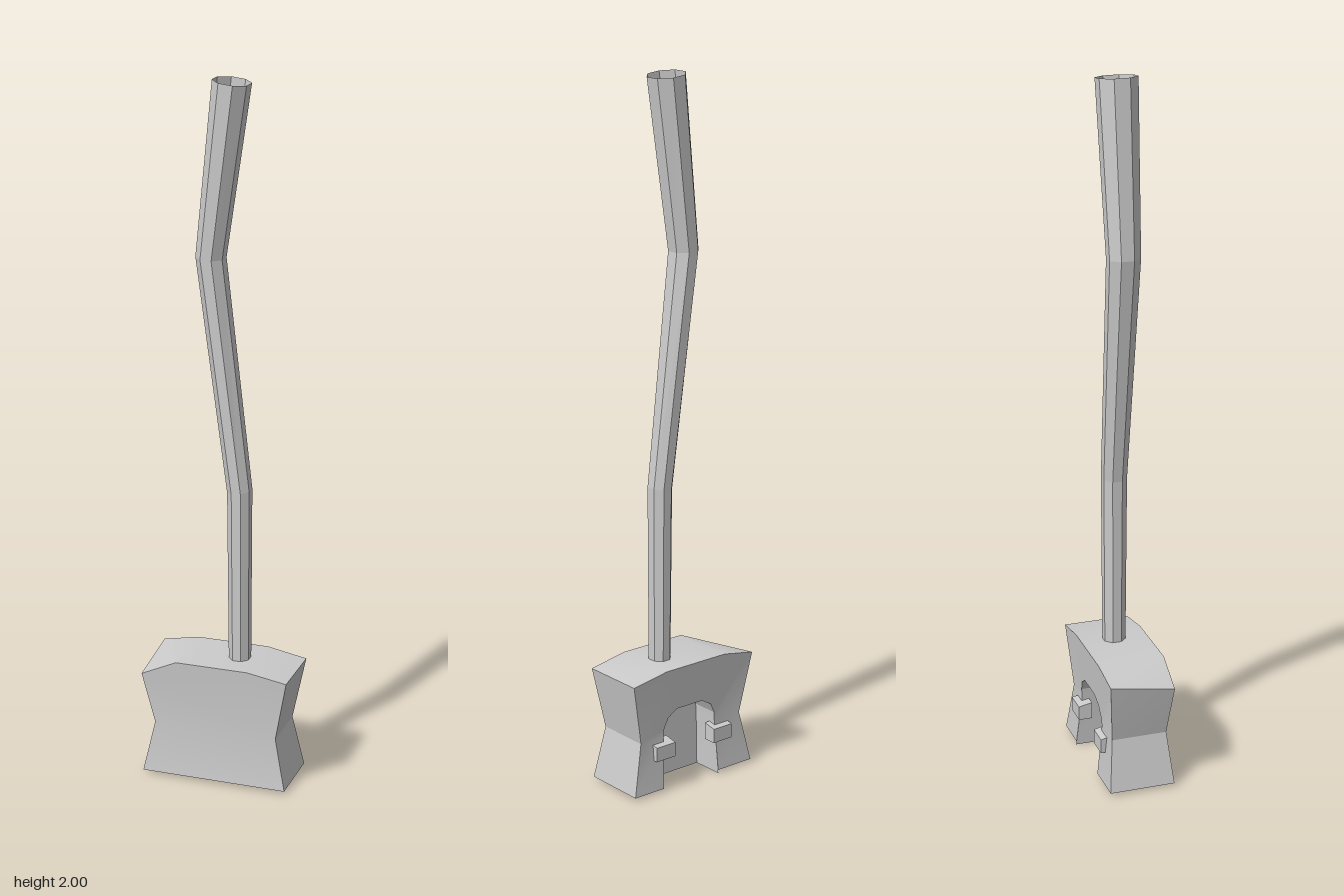
import * as THREE from 'three';
import { toCreasedNormals } from 'three/addons/utils/BufferGeometryUtils.js';

const BASE = 0.01, WAIST = 0.16;

// half thickness of the block, pinched at the waist
const depth = y => 0.08 + 0.015 * (y > WAIST ? (y - WAIST) / 0.18 : (WAIST - y) / (WAIST - BASE));
const front = ([x, y]) => {
  const yy = x < -0.2 && y > 0.3 ? 0.31 : y; // one worn front corner
  return new THREE.Vector3(x, yy, depth(yy));
};
const back = ([x, y]) => new THREE.Vector3(x, y, -depth(y));
const middle = ([x, y]) => new THREE.Vector3(x, y, 0);

function builder() {
  const pos = [];
  const tri = (a, b, c) => pos.push(...a, ...b, ...c);
  return {
    // flat polygon turned towards a normal; u and v are the axes it is triangulated in
    face(pts, normal, u = 'x', v = 'y') {
      const flat = pts.map(p => new THREE.Vector2(p[u], p[v]));
      if (THREE.ShapeUtils.isClockWise(flat)) { flat.reverse(); pts = [...pts].reverse(); }
      for (const t of THREE.ShapeUtils.triangulateShape(flat, [])) {
        const [a, b, c] = t.map(i => pts[i]);
        const n = b.clone().sub(a).cross(c.clone().sub(a));
        if (n.dot(normal) >= 0) tri(a, b, c); else tri(a, c, b);
      }
    },
    // strip of quads between two versions of the same path
    wall(path, near, far) {
      for (let i = 0; i + 1 < path.length; i++) {
        const a = near(path[i]), b = near(path[i + 1]), c = far(path[i + 1]), d = far(path[i]);
        tri(a, d, c);
        tri(a, c, b);
      }
    },
    geometry() {
      const g = new THREE.BufferGeometry();
      g.setAttribute('position', new THREE.Float32BufferAttribute(pos, 3));
      return g;
    }
  };
}

// Waisted block with an arched slot in its back and underside
function blockGeometry() {
  const b = builder();
  const F = new THREE.Vector3(0, 0, 1), B = new THREE.Vector3(0, 0, -1);
  const upper = [[0.18, WAIST], [0.215, 0.34], [0.1, 0.36], [-0.11, 0.36], [-0.215, 0.34], [-0.18, WAIST]];
  const right = [0.212, BASE], left = [-0.212, BASE];
  const arch = [[0.1, WAIST], [0.098, 0.185], [0.085, 0.215], [0.055, 0.235],
    [-0.035, 0.235], [-0.07, 0.215], [-0.085, 0.185], [-0.087, WAIST]];
  const slot = [[0.11, 0], ...arch, [-0.09, 0]];
  const footR = [0.11, BASE], footL = [-0.09, BASE];

  // front, above and below the waist
  b.face(upper.map(front), F);
  b.face([left, right, upper[0], upper[5]].map(front), F);
  // back, with the slot cut out
  b.face([...upper, ...[...arch].reverse()].map(back), B);
  b.face([right, upper[0], arch[0], footR].map(back), B);
  b.face([left, upper[5], arch[7], footL].map(back), B);
  // sides and top
  b.wall([right, ...upper, left], front, back);
  // slot lining and its end wall
  b.wall([...slot].reverse(), middle, back);
  b.face(slot.map(middle), B);
  // U-shaped underside
  b.face([front(left), front(right), back(right), back(footR), middle(footR),
    middle(footL), back(footL), back(left)], new THREE.Vector3(0, -1, 0), 'x', 'z');
  return toCreasedNormals(b.geometry(), 0.3);
}

// Bent, flaring, eight-sided hollow pole: [x, y, half width, half thickness, tilt]
function poleGeometry() {
  const sections = [[0.048, 0.355, 0.029, 0.031, 0], [0.046, 0.86, 0.032, 0.034, 0.15],
    [-0.037, 1.517, 0.038, 0.044, -0.05], [0.022, 1.994, 0.048, 0.054, -0.12]];
  const sides = 8, grow = 1 / Math.cos(Math.PI / sides);
  const pos = [], index = [];
  sections.forEach(([x, y, w, t, tilt], s) => {
    for (let i = 0; i < sides; i++) {
      const a = (i + 0.5) / sides * Math.PI * 2;
      const dx = Math.cos(a) * w * grow;
      pos.push(x + dx, y + dx * tilt, -Math.sin(a) * t * grow);
      if (s === 0) continue;
      const p = (s - 1) * sides + i, q = (s - 1) * sides + (i + 1) % sides;
      index.push(p, q, q + sides, p, q + sides, p + sides);
    }
  });
  const g = new THREE.BufferGeometry();
  g.setAttribute('position', new THREE.Float32BufferAttribute(pos, 3));
  g.setIndex(index);
  const flat = g.toNonIndexed();
  flat.computeVertexNormals();
  return flat;
}

// Small lug whose outer end is slightly lower and shorter
function lugGeometry() {
  const g = new THREE.BoxGeometry(0.066, 0.05, 0.04);
  const p = g.attributes.position;
  for (let i = 0; i < p.count; i++) {
    if (p.getZ(i) < 0 && p.getY(i) > 0) p.setY(i, p.getY(i) - 0.008);
  }
  g.computeVertexNormals();
  return g;
}

export function createModel() {
  const model = new THREE.Group();
  const grey = new THREE.MeshStandardMaterial({ color: 0xcccccc });
  const flatGrey = new THREE.MeshStandardMaterial({ color: 0xcccccc, flatShading: true, side: THREE.DoubleSide });
  const add = (name, geometry, material) => {
    const mesh = new THREE.Mesh(geometry, material);
    mesh.name = name;
    model.add(mesh);
    return mesh;
  };

  add('block', blockGeometry(), grey);
  add('pole', poleGeometry(), flatGrey);
  add('leftLug', lugGeometry(), grey).position.set(0.105, 0.125, -0.079);
  add('rightLug', lugGeometry(), grey).position.set(-0.103, 0.125, -0.079);
  return model;
}
